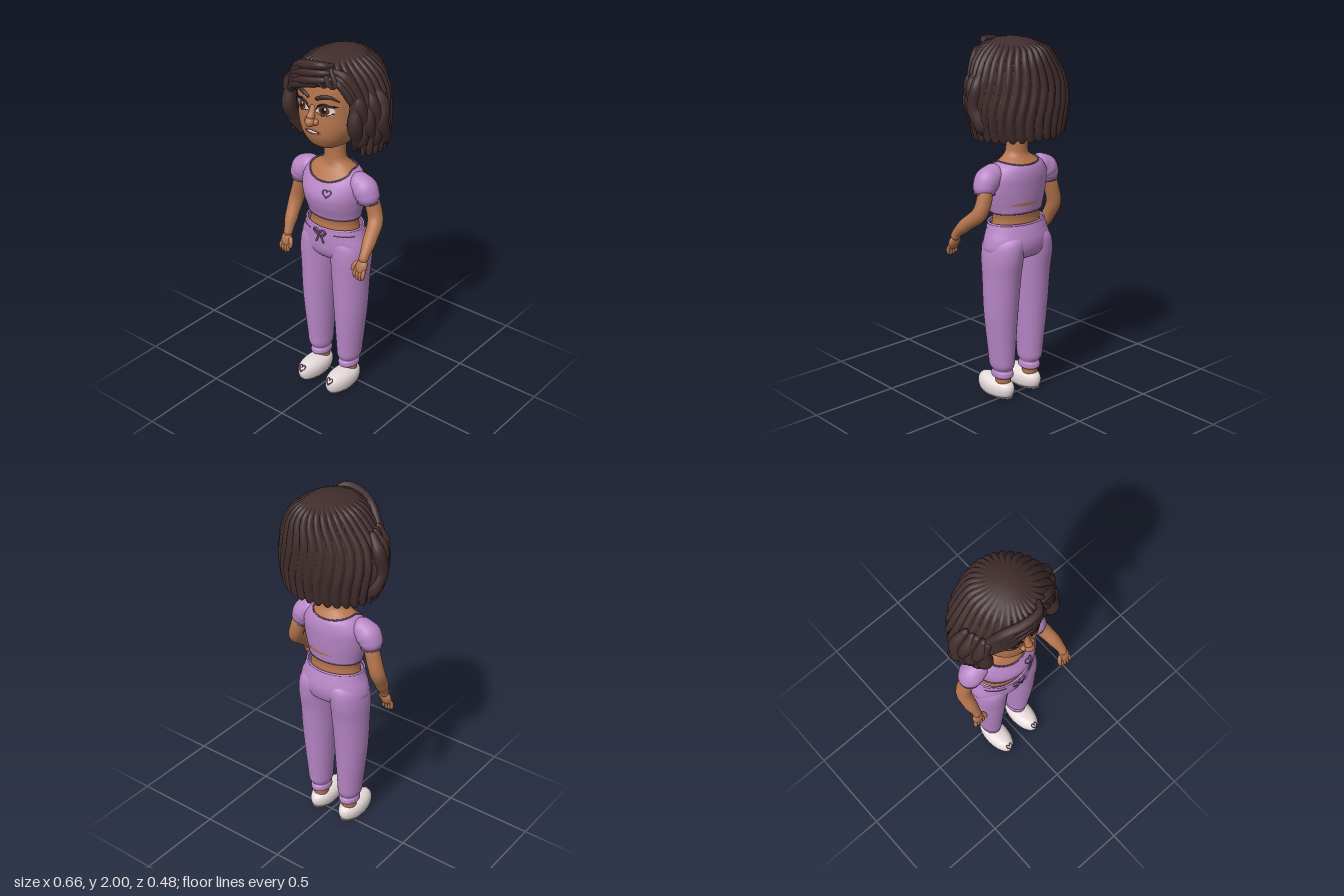
import * as THREE from 'three';
import { mergeVertices } from 'three/addons/utils/BufferGeometryUtils.js';

const mat = (name, color, side = THREE.DoubleSide) => Object.assign(new THREE.MeshStandardMaterial({ color, side }), { name });
const M = {
  skin: mat('skin', 0xb5754e), hair: mat('hair', 0x402c2c), lilac: mat('lilac cloth', 0xb886c6),
  trim: mat('cloth trim', 0x765a80), shoe: mat('slipper', 0xeee2e2), sole: mat('sole', 0xa58b95),
  dark: mat('dark line', 0x1e1214), iris: mat('iris', 0x6a3626), lips: mat('lips', 0x9c5444), white: mat('eye white', 0xf4ece8),
};
const { smoothstep } = THREE.MathUtils;
const rad = Math.PI / 180;

function add(parent, name, geo, material) {
  const m = new THREE.Mesh(geo, material);
  m.name = name;
  parent.add(m);
  return m;
}

// Smooth body from rows [y, centreX, centreZ, halfWidth, depthFront, depthBack], bottom to top
function surface(rows, p = 2) {
  const spline = new THREE.CubicInterpolant(rows.map((_, i) => i), rows.flat(), 6);
  const last = rows.length - 1;
  const tAt = y => {
    let a = 0, b = last;
    for (let i = 0; i < 26; i++) { const m = (a + b) / 2; if (spline.evaluate(m)[0] < y) a = m; else b = m; }
    return (a + b) / 2;
  };
  const pw = v => Math.sign(v) * Math.abs(v) ** (2 / p);
  const point = (phi, t, grow = 0) => {
    const [y, cx, cz, rx, rf, rb] = spline.evaluate(t);
    const s = pw(Math.sin(phi)), c = pw(Math.cos(phi));
    const g = typeof grow === 'function' ? grow(phi, y) : grow;
    return new THREE.Vector3(cx + Math.max(rx + g, 0) * s, y, cz + Math.max((c > 0 ? rf : rb) + g, 0) * c);
  };
  const frontZ = (x, y) => {
    const [, cx, cz, rx, rf] = spline.evaluate(tAt(y));
    return cz + rf * Math.max(0, 1 - Math.min(1, Math.abs((x - cx) / rx)) ** p) ** (1 / p);
  };
  return { last, tAt, point, frontZ };
}

function loft(s, { bottom, top, grow = 0, from = 0, to = 360, n = 48, m = 40 } = {}) {
  const pos = [], idx = [], closed = to - from === 360, cols = closed ? n : n + 1;
  for (let j = 0; j < cols; j++) {
    const phi = (from + (to - from) * j / n) * rad;
    const t0 = bottom ? s.tAt(bottom(phi)) : 0, t1 = top ? s.tAt(top(phi)) : s.last;
    for (let i = 0; i <= m; i++) pos.push(...s.point(phi, t0 + (t1 - t0) * i / m, grow));
  }
  for (let j = 0; j < n; j++) for (let i = 0; i < m; i++) {
    const a = j * (m + 1) + i, b = ((j + 1) % cols) * (m + 1) + i;
    idx.push(a, b, a + 1, b, b + 1, a + 1);
  }
  const g = new THREE.BufferGeometry();
  g.setAttribute('position', new THREE.Float32BufferAttribute(pos, 3));
  g.setIndex(idx);
  g.computeVertexNormals();
  return g;
}

// Tapered tube through points [x, y, z, radius]
function limb(pts, { round = true, closed = false, segs = 28, sides = 12 } = {}) {
  const curve = new THREE.CatmullRomCurve3(pts.map(p => new THREE.Vector3(p[0], p[1], p[2])), closed);
  const g = new THREE.TubeGeometry(curve, segs, 1, sides, closed);
  const pos = g.attributes.position, len = curve.getLength(), v = new THREE.Vector3();
  for (let i = 0; i <= segs; i++) {
    const u = i / segs, c = curve.getPointAt(u);
    const k = curve.getUtoTmapping(u) * (closed ? pts.length : pts.length - 1), a = Math.floor(k), f = k - a;
    let r = THREE.MathUtils.lerp(pts[a % pts.length][3], pts[Math.min(a + 1, pts.length - 1)][3], f * f * (3 - 2 * f));
    const d = Math.min(u, 1 - u) * len;
    if (round && !closed && d < r) r *= Math.sqrt(Math.max(0.0004, 1 - (1 - d / r) ** 2));
    for (let j = 0; j <= sides; j++) {
      const q = i * (sides + 1) + j;
      v.fromBufferAttribute(pos, q).sub(c).multiplyScalar(r).add(c);
      pos.setXYZ(q, v.x, v.y, v.z);
    }
  }
  g.deleteAttribute('uv'); g.deleteAttribute('normal');
  const out = mergeVertices(g, 1e-5);
  out.computeVertexNormals();
  return out;
}

// Painted details that follow the front of a surface
function decal(s, cx, cy, rx, ry, off) {
  const g = new THREE.RingGeometry(0, 1, 32, 4), p = g.attributes.position;
  for (let i = 0; i < p.count; i++) {
    const x = cx + rx * p.getX(i), y = cy + ry * p.getY(i);
    p.setXYZ(i, x, y, s.frontZ(x, y) + off);
  }
  g.computeVertexNormals();
  return g;
}
const stroke = (s, pts, off = 0.003, opt = {}) => limb(pts.map(([x, y, r]) => [x, y, s.frontZ(x, y) + off, r]), { sides: 8, ...opt });
const heart = (s, x, y, size, off) => stroke(s, Array.from({ length: 24 }, (_, i) => {
  const a = i / 24 * Math.PI * 2;
  return [x + size * Math.sin(a) ** 3, y + size * (13 * Math.cos(a) - 5 * Math.cos(2 * a) - 2 * Math.cos(3 * a) - Math.cos(4 * a)) / 16, 0.003];
}), off, { closed: true, segs: 64 });
// Piping that runs round a surface
const piping = (s, yAt, grow, r, from = 0, to = 360) => limb(Array.from({ length: 40 }, (_, i) => {
  const phi = (from + (to - from) * i / (to - from === 360 ? 40 : 39)) * rad;
  return [...s.point(phi, s.tAt(yAt(phi)), grow), r];
}), { closed: to - from === 360, segs: 90, sides: 6 });

function buildHead(g) {
  const X = -0.016;
  const head = surface([
    [1.475, X, 0.06, 0, 0, 0], [1.479, X, 0.06, 0.05, 0.06, 0.06], [1.492, X, 0.05, 0.085, 0.1, 0.09],
    [1.515, X, 0.03, 0.115, 0.14, 0.11], [1.56, X, 0.02, 0.147, 0.17, 0.14], [1.62, X, 0.01, 0.172, 0.185, 0.155],
    [1.7, X, 0, 0.182, 0.193, 0.17], [1.78, X, 0, 0.185, 0.193, 0.18], [1.86, X, 0, 0.175, 0.183, 0.18],
    [1.92, X, 0, 0.14, 0.14, 0.15], [1.95, X, 0, 0, 0, 0]], 2.4);
  add(g, 'head', loft(head, { m: 60 }), M.skin);
  add(g, 'noseBridge', limb([[X, 1.74, 0.178, 0.016], [X, 1.7, 0.195, 0.018], [X, 1.66, 0.217, 0.023]]), M.skin);
  for (const [x, r, z] of [[0, 0.027, 0.213], [-0.025, 0.017, 0.2], [0.025, 0.017, 0.2]])
    add(g, 'nose', new THREE.SphereGeometry(r, 20, 14), M.skin).position.set(X + x, 1.65, z);
  for (const s of [-1, 1]) {
    const ex = X + s * 0.072, at = (dx, y, r) => [ex + s * dx, y, r];
    add(g, 'eyeWhite', decal(head, ex, 1.72, 0.05, 0.03, 0.003), M.white);
    add(g, 'iris', decal(head, ex - s * 0.002, 1.721, 0.028, 0.029, 0.005), M.iris);
    add(g, 'pupil', decal(head, ex - s * 0.002, 1.721, 0.015, 0.016, 0.007), M.dark);
    add(g, 'eyeGlint', decal(head, ex + 0.008, 1.731, 0.006, 0.006, 0.009), M.white);
    add(g, 'upperLash', stroke(head, [at(-0.05, 1.715, 0.003), at(-0.03, 1.741, 0.005), at(0, 1.752, 0.006), at(0.032, 1.744, 0.006), at(0.064, 1.746, 0.002)]), M.dark);
    add(g, 'lowerLash', stroke(head, [at(-0.045, 1.705, 0.002), at(0, 1.689, 0.002), at(0.048, 1.712, 0.003)]), M.dark);
    add(g, 'eyebrow', stroke(head, [at(-0.052, 1.772, 0.009), at(-0.01, 1.79, 0.011), at(0.025, 1.793, 0.009), at(0.066, 1.77, 0.004)], 0), M.hair);
    const ear = add(g, 'ear', new THREE.SphereGeometry(1, 20, 14), M.skin);
    ear.scale.set(0.02, 0.045, 0.03);
    ear.position.set(X + s * 0.182, 1.64, 0.02);
    add(g, 'earring', new THREE.SphereGeometry(0.01, 12, 8), M.lips).position.set(X + s * 0.186, 1.605, 0.048);
  }
  add(g, 'lips', decal(head, X + 0.003, 1.59, 0.053, 0.017, 0.004), M.lips);
  add(g, 'mouth', decal(head, X + 0.003, 1.592, 0.044, 0.009, 0.006), M.dark);
  add(g, 'teeth', decal(head, X + 0.003, 1.593, 0.036, 0.006, 0.008), M.white);
}

function buildHair(g) {
  const hair = surface([
    [1.47, -0.004, 0, 0.25, 0.17, 0.2], [1.5, -0.004, 0, 0.268, 0.18, 0.22], [1.58, -0.005, 0, 0.286, 0.185, 0.23],
    [1.66, -0.007, 0, 0.292, 0.19, 0.235], [1.74, -0.004, 0, 0.282, 0.2, 0.232], [1.81, 0.004, 0, 0.262, 0.208, 0.225],
    [1.89, 0.014, 0, 0.215, 0.212, 0.208], [1.95, 0.012, 0, 0.158, 0.19, 0.175], [1.98, 0.02, 0, 0.1, 0.13, 0.115],
    [1.995, 0.03, 0, 0.05, 0.06, 0.06], [2, 0.03, 0, 0, 0, 0]]);
  // Ridged locks fan out from the crown; the front is cut away for the face
  const lock = (phi, y) => Math.abs(Math.sin(16 * phi + 1.1 * Math.sin(13 * y)));
  const ridge = (phi, y) => 0.019 * (lock(phi, y) ** 0.7 - 0.65) * (1 - smoothstep(y, 1.95, 1.995));
  const hem = phi => {
    const d = Math.abs(((phi / rad + 180) % 360) - 180);
    return 1.5 + 0.365 * (1 - smoothstep(d, 42, 58)) - 0.018 * lock(phi, 1.5);
  };
  add(g, 'hairCap', loft(hair, { bottom: hem, grow: ridge, n: 288, m: 46 }), M.hair);
  // Side locks beside the face
  for (const s of [-1, 1]) for (let i = 0; i < 5; i++) {
    const o = i * 0.018, z = 0.12 - i * 0.03, w = 0.012 * (i % 2 ? 1 : -1), x = v => -0.01 + s * v;
    add(g, 'sideLock', limb([
      [x(0.185 + o * 0.5), 1.86, z + 0.015, 0.018], [x(0.212 + o), 1.76, z + 0.01 + w, 0.034], [x(0.215 + o), 1.66, z - w, 0.04],
      [x(0.205 + o), 1.57, z - 0.015 + w, 0.036], [x(0.17 + o), 1.49 + i * 0.004, z - 0.04, 0.012]], { segs: 36 }), M.hair);
  }
  // Fringe swept across the forehead from the parting
  for (let i = 0; i < 6; i++) {
    const h = i * 0.019, w = i % 2 ? 0.006 : -0.004;
    add(g, 'fringeLock', limb([
      [0.13 - i * 0.008, 1.885 + h * 0.7, 0.165 - h * 0.2, 0.012], [0.05, 1.868 + h, 0.192 + w, 0.02], [-0.04, 1.85 + h, 0.2 + w - h * 0.1, 0.025],
      [-0.12, 1.822 + h, 0.185 - h * 0.2, 0.025], [-0.19, 1.775 + h * 0.8, 0.145 - h * 0.2, 0.022], [-0.235, 1.71 + h * 0.5, 0.115 - h * 0.4, 0.01]], { segs: 40 }), M.hair);
  }
  for (let i = 0; i < 3; i++) {
    add(g, 'partingLock', limb([
      [0.09, 1.9 + i * 0.02, 0.17, 0.012], [0.14 + i * 0.008, 1.87 + i * 0.018, 0.162 - i * 0.01, 0.024],
      [0.18 + i * 0.015, 1.81, 0.14 - i * 0.015, 0.026], [0.205 + i * 0.012, 1.73, 0.12 - i * 0.015, 0.012]]), M.hair);
    add(g, 'outerCurl', limb([
      [-0.2, 1.84 - i * 0.05, 0.06 - i * 0.03, 0.015], [-0.258 - i * 0.006, 1.79 - i * 0.055, 0.05 - i * 0.03, 0.026],
      [-0.268 - i * 0.008, 1.71 - i * 0.055, 0.06 - i * 0.03, 0.026], [-0.25, 1.65 - i * 0.05, 0.08, 0.012]]), M.hair);
  }
}

function buildTorso(g) {
  const X = -0.013, Z = 0.02;
  const torso = surface([
    [0.99, X, Z, 0.15, 0.105, 0.105], [1.04, X, Z, 0.143, 0.1, 0.1], [1.09, X, Z, 0.153, 0.113, 0.106], [1.15, X, Z, 0.168, 0.135, 0.113],
    [1.21, X, Z, 0.178, 0.142, 0.118], [1.27, X, Z, 0.178, 0.117, 0.12], [1.32, X, Z, 0.15, 0.085, 0.11], [1.35, X, Z, 0.108, 0.062, 0.085],
    [1.375, X, 0.018, 0.072, 0.056, 0.066], [1.41, X - 0.002, 0.016, 0.06, 0.056, 0.06], [1.51, X - 0.002, 0.015, 0.06, 0.06, 0.065]]);
  const neckline = phi => { const c = Math.cos(phi); return 1.347 - (c > 0 ? 0.06 : 0.015) * c * c; };
  const hem = () => 1.07;
  add(g, 'bodyAndNeck', loft(torso, { m: 60 }), M.skin);
  add(g, 'top', loft(torso, { bottom: hem, top: neckline, grow: 0.009, n: 64 }), M.lilac);
  add(g, 'neckTrim', piping(torso, neckline, 0.008, 0.0045), M.trim);
  add(g, 'hemTrim', piping(torso, hem, 0.008, 0.004), M.trim);
  add(g, 'chestHeart', heart(torso, 0.042, 1.237, 0.023, 0.01), M.trim);
  const lens = phi => 0.009 * Math.sin(Math.PI * (phi / rad - 135) / 65);
  add(g, 'backSlit', loft(torso, { from: 135, to: 200, n: 30, m: 2, grow: 0.011, bottom: p => 1.122 - lens(p), top: p => 1.122 + lens(p) }), M.skin);

  for (const s of [-1, 1]) {
    const x = v => -0.0175 + s * v;
    add(g, 'puffSleeve', limb([[x(0.11), 1.285, Z, 0.035], [x(0.165), 1.282, Z, 0.062], [x(0.205), 1.258, Z, 0.07], [x(0.222), 1.225, Z, 0.065], [x(0.226), 1.192, Z, 0.053]], { round: false, sides: 24 }), M.lilac);
    const cuff = add(g, 'sleeveTrim', new THREE.TorusGeometry(0.053, 0.005, 8, 32), M.trim);
    cuff.rotation.set(Math.PI / 2, s * 0.12, 0);
    cuff.position.set(x(0.226), 1.192, Z);
  }
}

function buildArm(g, s, pts, wrist, tip) {
  add(g, 'arm', limb(pts, { segs: 44, sides: 18 }), M.skin);
  const hand = new THREE.Group();
  hand.name = 'hand';
  add(hand, 'palm', new THREE.SphereGeometry(1, 20, 14).scale(0.034, 0.044, 0.021).translate(0, -0.042, 0), M.skin);
  for (let i = 0; i < 4; i++) {
    const x = (i - 1.5) * 0.017, l = 0.125 - 0.008 * Math.abs(i - 1.5);
    add(hand, 'finger', limb([[x * 0.9, -0.05, 0, 0.0105], [x * 1.05, -0.09, 0.004, 0.0105], [x, -l, -0.006, 0.008]], { sides: 10 }), M.skin);
  }
  add(hand, 'thumb', limb([[-s * 0.02, -0.02, 0, 0.012], [-s * 0.04, -0.05, 0.008, 0.012], [-s * 0.043, -0.082, 0.01, 0.009]], { sides: 10 }), M.skin);
  const w = new THREE.Vector3(...wrist), dir = new THREE.Vector3(...tip).sub(w).normalize();
  hand.position.copy(w);
  hand.quaternion.setFromUnitVectors(new THREE.Vector3(0, -1, 0), dir);
  g.add(hand);
}

function buildTrousers(g) {
  const X = -0.012, Z = 0.02;
  const hips = surface([
    [0.79, X, Z, 0, 0, 0], [0.8, X, Z, 0.07, 0.06, 0.06], [0.83, X, Z, 0.17, 0.1, 0.125], [0.87, X, Z, 0.208, 0.119, 0.146],
    [0.92, X, Z, 0.204, 0.124, 0.15], [0.97, X, Z, 0.185, 0.125, 0.138], [1.015, X, Z, 0.171, 0.122, 0.122]]);
  add(g, 'hips', loft(hips), M.lilac);
  add(g, 'waistEdge', piping(hips, () => 1.012, -0.003, 0.006), M.lilac);
  for (const s of [-1, 1]) {
    add(g, 'waistSeam', piping(hips, () => 0.982, 0, 0.003, s > 0 ? 25 : 290, s > 0 ? 70 : 335), M.trim);
    const row = (y, o, rx, rf, rb) => [y, X + s * o, Z, rx, rf, rb];
    add(g, 'trouserLeg', loft(surface([
      row(0.115, 0.1, 0.046, 0.056, 0.056), row(0.126, 0.1, 0.055, 0.069, 0.067), row(0.148, 0.1, 0.054, 0.067, 0.065), row(0.16, 0.1, 0.05, 0.06, 0.058),
      row(0.19, 0.103, 0.063, 0.078, 0.076), row(0.26, 0.105, 0.07, 0.083, 0.082), row(0.5, 0.11, 0.09, 0.1, 0.1), row(0.7, 0.107, 0.1, 0.108, 0.118),
      row(0.83, 0.105, 0.105, 0.114, 0.14), row(0.92, 0.09, 0.1, 0.11, 0.14), row(0.97, 0.07, 0.05, 0.08, 0.1)]), { m: 60 }), M.lilac);
    // Drawstring bow
    const bz = 0.15, b = (dx, y, dz = 0) => [X + s * dx, y, bz + dz, 0.0055];
    add(g, 'bowLoop', limb([b(0.002, 0.985), b(0.022, 1.004, 0.004), b(0.038, 0.996), b(0.03, 0.978), b(0.012, 0.978, 0.004)], { closed: true, segs: 40, sides: 8 }), M.trim);
    add(g, 'bowTail', limb([b(0.002, 0.985), b(0.012, 0.955), b(0.026, 0.925, -0.001)], { sides: 8 }), M.trim);

    // Ankle and slipper
    const fx = X + s * 0.1 - 0.001;
    add(g, 'ankle', limb([[fx, 0.2, 0.015, 0.045], [fx, 0.12, 0.015, 0.044], [fx, 0.05, 0.015, 0.044]], { sides: 18 }), M.skin);
    const shoe = surface([
      [0.002, fx, 0.07, 0.05, 0.11, 0.1], [0.015, fx, 0.07, 0.063, 0.13, 0.12], [0.05, fx, 0.07, 0.068, 0.138, 0.128],
      [0.08, fx, 0.075, 0.059, 0.123, 0.117], [0.1, fx, 0.088, 0.034, 0.08, 0.072], [0.107, fx, 0.09, 0, 0, 0]]);
    add(g, 'slipper', loft(shoe), M.shoe);
    add(g, 'sole', new THREE.CylinderGeometry(1, 1, 0.008, 40).scale(0.057, 1, 0.122).translate(fx, 0.004, 0.07), M.sole);
    add(g, 'slipperHeart', heart(shoe, fx, 0.08, 0.018, 0.002), M.trim);
  }
}

export function createModel() {
  const g = new THREE.Group();
  g.name = 'standingWoman';
  buildHead(g);
  buildHair(g);
  buildTorso(g);
  buildArm(g, -1, [[-0.23, 1.26, 0.02, 0.04], [-0.262, 1.15, 0.01, 0.042], [-0.287, 1.05, 0.015, 0.042], [-0.285, 0.96, 0.06, 0.037], [-0.276, 0.885, 0.1, 0.026], [-0.276, 0.85, 0.11, 0.026]],
    [-0.275, 0.875, 0.105], [-0.285, 0.75, 0.135]);
  buildArm(g, 1, [[0.205, 1.26, 0.02, 0.04], [0.226, 1.17, 0, 0.042], [0.252, 1.09, 0.012, 0.042], [0.278, 1.02, 0.09, 0.037], [0.292, 0.955, 0.155, 0.026], [0.293, 0.92, 0.17, 0.026]],
    [0.293, 0.945, 0.162], [0.288, 0.83, 0.205]);
  buildTrousers(g);
  return g;
}
